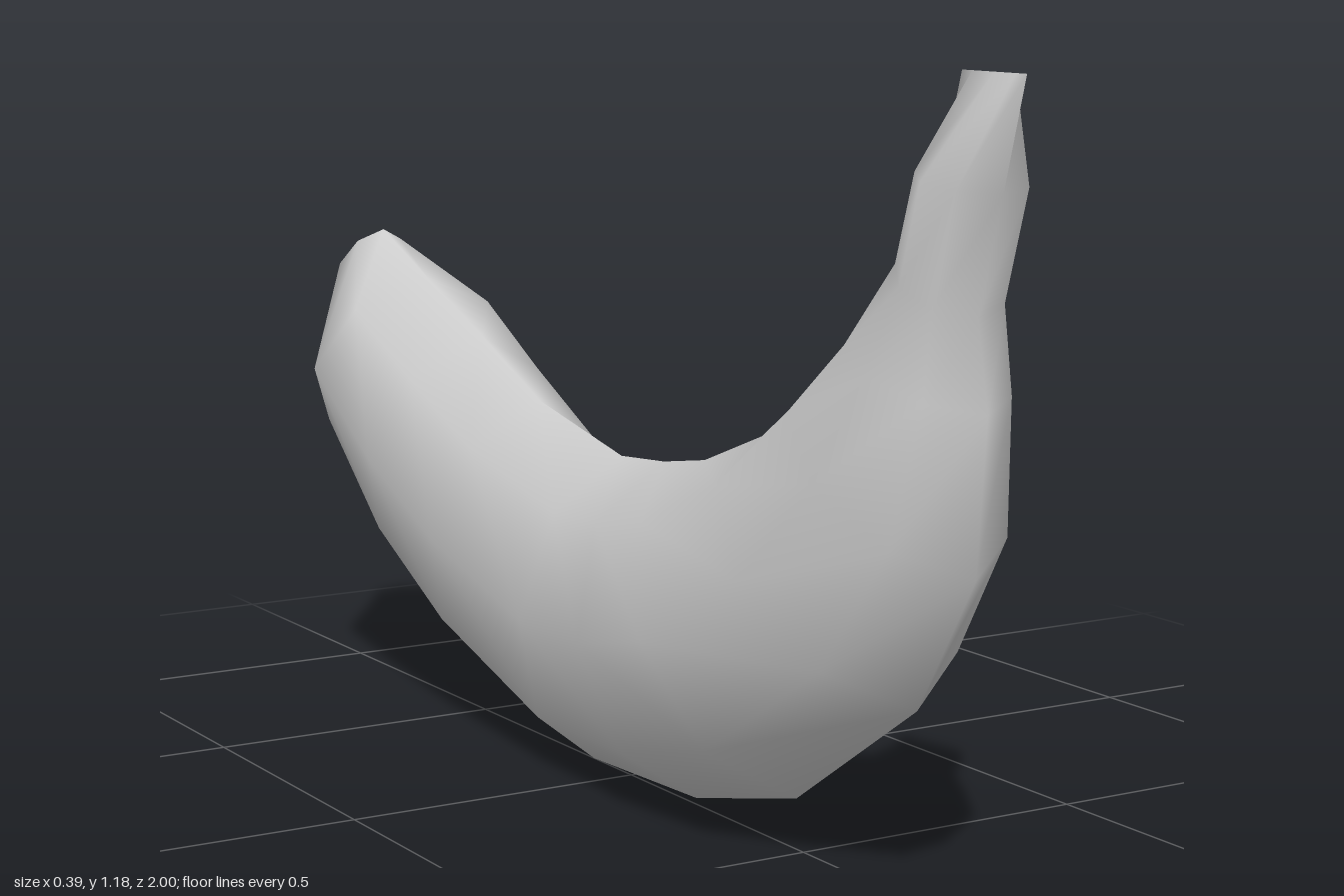
import * as THREE from 'three';

// Cross-sections from stem to tip: outer edge z, y; inner edge z, y; half width
const sections = [
  [1.0, 1.18, 0.86, 1.18, 0],
  [0.955, 1.02, 0.82, 1.05, 0.087],
  [0.905, 0.85, 0.78, 0.93, 0.087],
  [0.93, 0.72, 0.66, 0.81, 0.108],
  [0.91, 0.49, 0.54, 0.725, 0.145],
  [0.78, 0.28, 0.38, 0.615, 0.172],
  [0.48, 0.08, 0.22, 0.555, 0.195],
  [0.2, 0.012, 0.1, 0.535, 0.188],
  [-0.12, 0.002, -0.03, 0.525, 0.165],
  [-0.47, 0.11, -0.3, 0.58, 0.165],
  [-0.7, 0.24, -0.5, 0.665, 0.175],
  [-0.88, 0.43, -0.7, 0.745, 0.185],
  [-1.0, 0.69, -0.88, 0.82, 0.06],
];

// Eight-sided outline: share of the way from outer to inner edge, share of half width
const outline = [[0, 0], [0.17, 0.7], [0.5, 1], [0.84, 0.72], [1, 0], [0.84, -0.72], [0.5, -1], [0.17, -0.7]];

function ringPoints([oz, oy, iz, iy, w]) {
  return outline.map(([t, s]) => [s * w, oy + (iy - oy) * t, oz + (iz - oz) * t]);
}

function buildMesh(name, points, index, material) {
  const geometry = new THREE.BufferGeometry();
  geometry.setAttribute('position', new THREE.Float32BufferAttribute(points.flat(), 3));
  geometry.setIndex(index);
  geometry.computeVertexNormals();
  const mesh = new THREE.Mesh(geometry, material);
  mesh.name = name;
  return mesh;
}

export function createModel() {
  const group = new THREE.Group();
  group.name = 'banana';
  const material = new THREE.MeshStandardMaterial({ color: 0xcccccc, side: THREE.DoubleSide });
  const n = outline.length;

  // Curved peel with its chisel-shaped stem
  const index = [];
  for (let i = 0; i < sections.length - 1; i++) {
    for (let j = 0; j < n; j++) {
      const a = i * n + j, b = i * n + (j + 1) % n;
      index.push(a, a + n, b, b, a + n, b + n);
    }
  }
  group.add(buildMesh('peel', sections.flatMap(ringPoints), index, material));

  // Blunt blossom end, slightly domed
  const rim = ringPoints(sections[sections.length - 1]);
  const capIndex = rim.flatMap((_, j) => [n, (j + 1) % n, j]);
  group.add(buildMesh('blossomEnd', [...rim, [0, 0.735, -0.98]], capIndex, material));

  return group;
}
